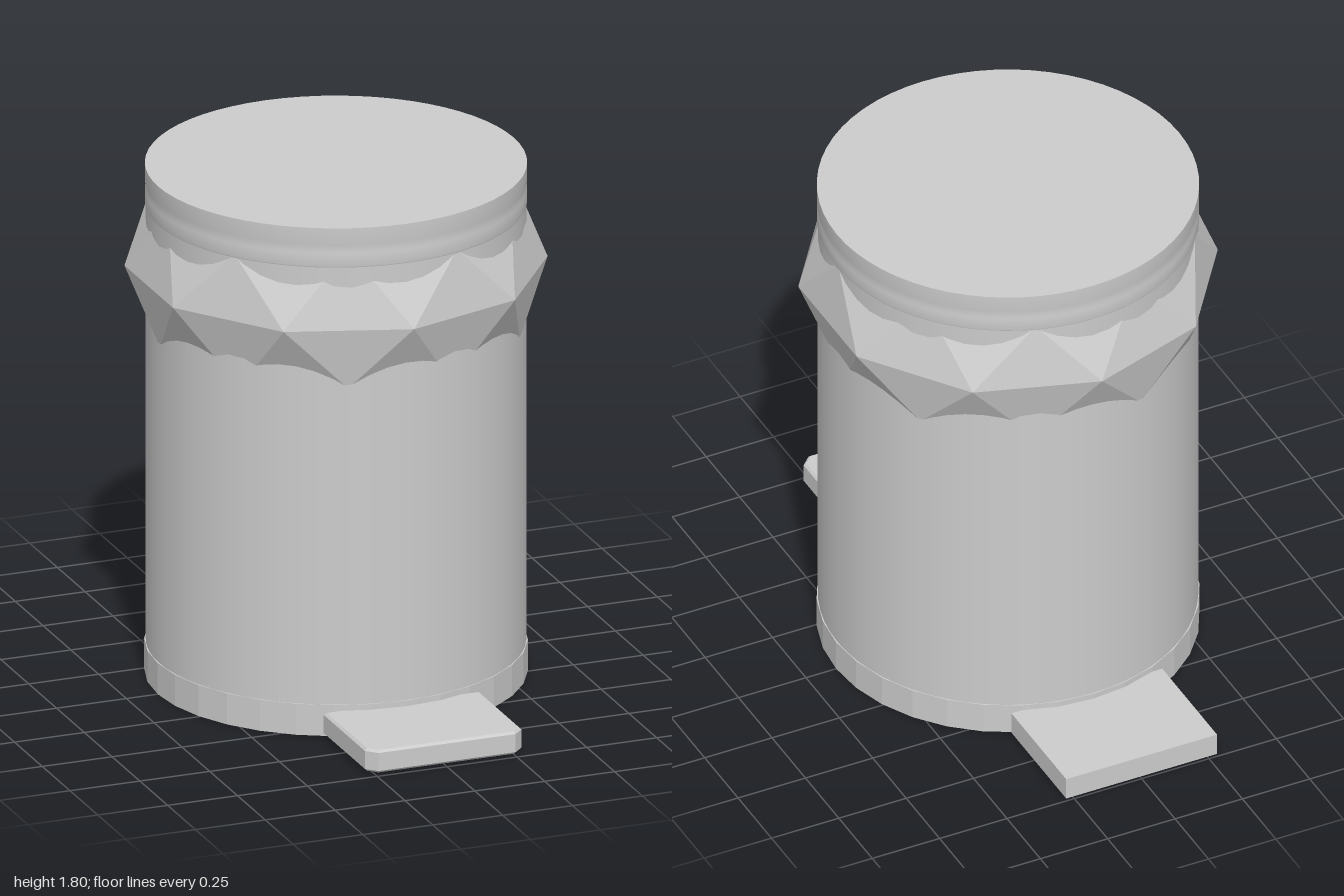
import * as THREE from 'three';

const gray = new THREE.MeshStandardMaterial({ color: 0xcccccc });
gray.name = 'gray';

// Split the faces so each one keeps its own flat normal
function faceted(geometry) {
  const g = geometry.index ? geometry.toNonIndexed() : geometry;
  g.computeVertexNormals();
  return g;
}

// Faceted band: a ten-sided rim with zigzag rings above and below
function collarGeometry() {
  const midY = 1.45, count = 10, pos = [];
  const point = (step, r, y) => {
    const a = step * Math.PI / 5;
    return [Math.sin(a) * r, y, Math.cos(a) * r];
  };
  const rim = j => point(j, 0.705, midY);
  const ring = (j, side) => {
    const outer = (j % 2 === 0) === (side > 0);
    return point(j + 0.5, outer ? 0.63 : 0.6, midY + side * (outer ? 0.22 : 0.258));
  };
  for (let j = 0; j < count; j++) {
    pos.push(...rim(j), ...rim(j + 1), ...ring(j, 1));
    pos.push(...rim(j + 1), ...ring(j + 1, 1), ...ring(j, 1));
    pos.push(...rim(j + 1), ...rim(j), ...ring(j, -1));
    pos.push(...ring(j + 1, -1), ...rim(j + 1), ...ring(j, -1));
  }
  const g = new THREE.BufferGeometry();
  g.setAttribute('position', new THREE.Float32BufferAttribute(pos, 3));
  return faceted(g);
}

// Front pedal plate with cut outer corners and a fine bevel
function frontPedalGeometry() {
  const b = 0.008, w = 0.28 - b, z0 = 0.6, z1 = 1 - b, c = 0.03;
  const shape = new THREE.Shape([
    [-w, -z0], [-w, -z1 + c], [-w + c, -z1], [w - c, -z1], [w, -z1 + c], [w, -z0],
  ].map(p => new THREE.Vector2(...p)));
  const g = new THREE.ExtrudeGeometry(shape, {
    depth: 0.08 - 2 * b, bevelThickness: b, bevelSize: b, bevelSegments: 1,
  });
  g.rotateX(-Math.PI / 2);
  g.translate(0, 0.01 + b, 0);
  return faceted(g);
}

export function createModel() {
  const model = new THREE.Group();
  model.name = 'pedalBin';
  const add = (name, geometry, y = 0, z = 0) => {
    const mesh = new THREE.Mesh(geometry, gray);
    mesh.name = name;
    mesh.position.set(0, y, z);
    model.add(mesh);
  };

  // Base ring with flat sides
  add('base', faceted(new THREE.CylinderGeometry(0.638, 0.638, 0.11, 32)), 0.055);

  // Smooth round body
  add('body', new THREE.CylinderGeometry(0.633, 0.633, 1.57, 64), 0.885);

  // Gathered bag collar
  add('collar', collarGeometry());

  // Lid: smooth side with a shallow groove, flat top and underside
  const side = [[0.63, 1.655], [0.636, 1.665], [0.636, 1.71], [0.63, 1.725],
    [0.636, 1.74], [0.636, 1.8]].map(p => new THREE.Vector2(...p));
  add('lidSide', new THREE.LatheGeometry(side, 64));
  const disc = r => new THREE.CircleGeometry(r, 64);
  add('lidTop', disc(0.636).rotateX(-Math.PI / 2), 1.8);
  add('lidUnderside', disc(0.63).rotateX(Math.PI / 2), 1.655);

  // Pedal at the front, plain foot plate at the back
  add('frontPedal', frontPedalGeometry());
  add('backFoot', new THREE.BoxGeometry(0.56, 0.08, 0.41), 0.05, -0.795);

  return model;
}
